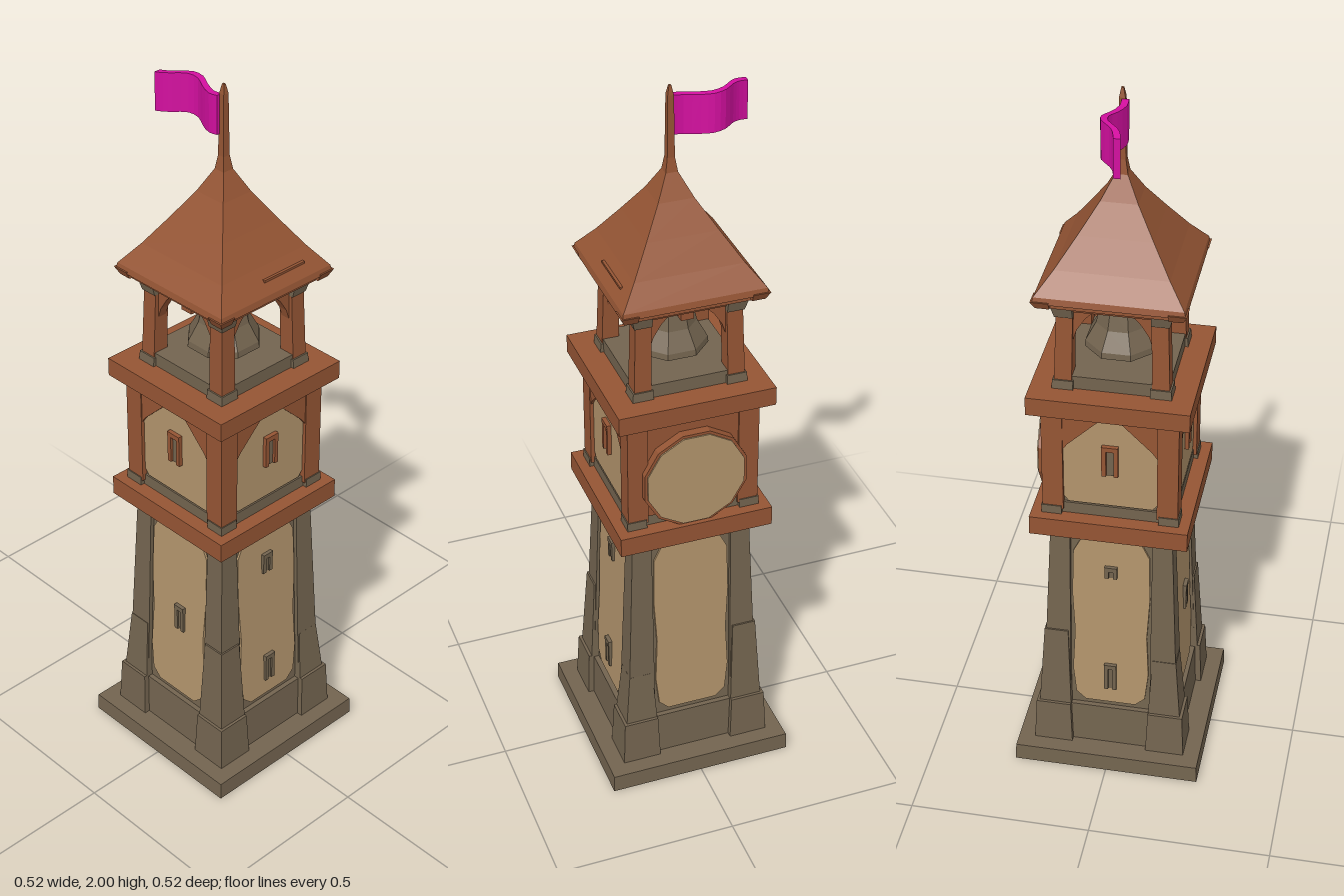
import * as THREE from 'three';

const mat = (name, color) => {
  const m = new THREE.MeshStandardMaterial({ color, flatShading: true });
  m.name = name;
  return m;
};

export function createModel() {
  const stone = mat('stone', 0x73644f);
  const wood = mat('wood', 0x955534);
  const plaster = mat('plaster', 0xb2946c);
  const cloth = mat('flag cloth', 0xd30f9f);
  const tower = new THREE.Group();
  tower.name = 'bellTower';

  const add = (parent, name, geo, material, x = 0, y = 0, z = 0) => {
    const m = new THREE.Mesh(geo, material);
    m.name = name;
    m.position.set(x, y, z);
    parent.add(m);
    return m;
  };
  const box = (parent, name, material, w, h, d, x, y, z) =>
    add(parent, name, new THREE.BoxGeometry(w, h, d), material, x, y, z);

  // six-sided block between a bottom and a top rectangle [x0, x1, z0, z1]
  const block = (bottom, y0, top, y1) => {
    const g = new THREE.BoxGeometry(1, 1, 1), p = g.attributes.position;
    for (let i = 0; i < p.count; i++) {
      const r = p.getY(i) > 0 ? top : bottom;
      p.setXYZ(i, p.getX(i) > 0 ? r[1] : r[0], p.getY(i) > 0 ? y1 : y0, p.getZ(i) > 0 ? r[3] : r[2]);
    }
    g.computeVertexNormals();
    return g;
  };
  const sq = (h) => [-h, h, -h, h];
  const level = (name, material, h0, y0, h1, y1) => add(tower, name, block(sq(h0), y0, sq(h1), y1), material);
  // square block in one corner, from an inner to an outer distance
  const cornerRect = (sx, sz, a, b) => [
    Math.min(sx * a, sx * b), Math.max(sx * a, sx * b), Math.min(sz * a, sz * b), Math.max(sz * a, sz * b)];
  const corner = (name, material, sx, sz, a0, b0, y0, a1, b1, y1) =>
    add(tower, name, block(cornerRect(sx, sz, a0, b0), y0, cornerRect(sx, sz, a1, b1), y1), material);
  // thin plate from an outline
  const plate = (pts, depth) => new THREE.ExtrudeGeometry(
    new THREE.Shape(pts.map(([x, y]) => new THREE.Vector2(x, y))), { depth, bevelEnabled: false });
  const mirrored = (half) => [...half, ...half.map(([x, y]) => [-x, y]).reverse()];

  // foot and tapering shaft
  level('footSlab', stone, 0.26, 0, 0.258, 0.05);
  level('plinth', stone, 0.197, 0.05, 0.192, 0.175);
  level('shaft', stone, 0.178, 0.175, 0.154, 0.785);

  // storey and ring beams
  level('lowerRingBeam', wood, 0.212, 0.78, 0.212, 0.835);
  level('storeyCore', stone, 0.165, 0.835, 0.165, 1.165);
  level('storeySill', stone, 0.172, 0.835, 0.172, 0.868);
  level('upperRingBeam', wood, 0.213, 1.163, 0.213, 1.215);

  // belfry floor and head
  level('belfryKerb', stone, 0.147, 1.215, 0.147, 1.252);
  level('belfryHead', wood, 0.14, 1.44, 0.15, 1.475);

  // everything standing on the four corners
  const stepTop = [0.43, 0.33, 0.43, 0.36];
  [[-1, 1], [1, 1], [1, -1], [-1, -1]].forEach(([sx, sz], i) => {
    corner('plinthBlock', stone, sx, sz, 0.105, 0.213, 0.05, 0.11, 0.207, 0.18);
    corner('shaftPier', stone, sx, sz, 0.112, 0.19, 0.18, 0.112, 0.165, 0.782);
    corner('pierButtress', stone, sx, sz, 0.11, 0.199, 0.18, 0.118, 0.184, stepTop[i]);
    corner('storeyPost', wood, sx, sz, 0.125, 0.181, 0.85, 0.125, 0.181, 1.165);
    corner('postFoot', stone, sx, sz, 0.13, 0.184, 0.835, 0.13, 0.184, 0.86);
    corner('belfryPostFoot', stone, sx, sz, 0.1, 0.156, 1.215, 0.1, 0.154, 1.24);
    corner('belfryPost', wood, sx, sz, 0.104, 0.15, 1.235, 0.1, 0.143, 1.445);
    corner('belfryCapital', stone, sx, sz, 0.1, 0.147, 1.425, 0.1, 0.157, 1.465);
  });

  // the four faces
  const panel = mirrored([[0.07, 0.19], [0.097, 0.215], [0.106, 0.3], [0.1, 0.43],
    [0.107, 0.56], [0.104, 0.7], [0.078, 0.752]]);
  const wallZ = (y) => 0.178 - (y - 0.175) * 0.0393;
  const slits = { front: [[0, 0.28, 0.08], [0, 0.64, 0.055]], left: [], back: [[0, 0.28, 0.08], [0, 0.64, 0.03]],
    right: [[0.01, 0.45, 0.075]] };
  Object.keys(slits).forEach((side, k) => {
    const face = new THREE.Group();
    face.name = side + 'Face';
    face.rotation.y = k * Math.PI / 2;
    tower.add(face);

    const shaftPanel = add(face, 'shaftPanel', plate(panel, 0.006), plaster, 0, 0, wallZ(0));
    shaftPanel.rotation.x = -Math.atan(0.0393);
    for (const [x, y, h] of slits[side]) {
      const z = wallZ(y) + 0.006;
      for (const s of [-1, 1]) box(face, 'slitJamb', stone, 0.011, h, 0.016, x + s * 0.0115, y, z);
      box(face, 'slitLintel', stone, 0.034, 0.014, 0.018, x, y + h / 2, z);
      box(face, 'slitOpening', stone, 0.016, h, 0.006, x, y, z);
    }

    // storey infill
    box(face, 'topRail', wood, 0.27, 0.022, 0.014, 0, 1.154, 0.17);
    if (side === 'left') {
      box(face, 'clockBoard', wood, 0.27, 0.3, 0.01, 0, 1.015, 0.17);
      const rim = add(face, 'clockRim', new THREE.CylinderGeometry(0.146, 0.146, 0.03, 12), wood, 0, 0.972, 0.184);
      const dial = add(face, 'clockDial', new THREE.CylinderGeometry(0.138, 0.138, 0.008, 12), plaster, 0, 0.972, 0.199);
      rim.rotation.set(Math.PI / 2, Math.PI / 12, 0);
      dial.rotation.set(Math.PI / 2, Math.PI / 12, 0);
    } else {
      add(face, 'storeyPanel', plate(mirrored([[0.112, 0.872], [0.126, 0.89], [0.126, 1.15]]), 0.006),
        plaster, 0, 0, 0.165);
      for (const s of [-1, 1]) {
        const pts = [[0.13 * s, 1.035], [0.13 * s, 1.155], [0.02 * s, 1.155], [0.03 * s, 1.14], [0.112 * s, 1.06]];
        add(face, 'storeyBrace', plate(pts, 0.013), wood, 0, 0, 0.165);
        box(face, 'windowJamb', wood, 0.012, 0.085, 0.018, s * 0.016, 1.015, 0.173);
      }
      box(face, 'windowLintel', wood, 0.044, 0.014, 0.02, 0, 1.058, 0.173);
      box(face, 'windowOpening', stone, 0.024, 0.08, 0.009, 0, 1.012, 0.17);
    }

    // belfry arch braces and eave rafter
    for (const s of [-1, 1]) {
      const pts = [[0.107 * s, 1.34], [0.107 * s, 1.445], [0.045 * s, 1.445], [0.07 * s, 1.42], [0.092 * s, 1.385]];
      add(face, 'archBrace', plate(pts, 0.026), wood, 0, 0, 0.108);
    }
    box(face, 'eaveRail', wood, 0.35, 0.02, 0.022, 0, 1.476, 0.164);
  });

  // bell on its beam
  box(tower, 'bellBeam', wood, 0.26, 0.03, 0.035, 0, 1.43, 0);
  const bellProfile = [[0.088, 1.275], [0.1, 1.278], [0.098, 1.295], [0.07, 1.345], [0.056, 1.405], [0.035, 1.425], [0, 1.43]];
  const bell = add(tower, 'bell', new THREE.LatheGeometry(
    bellProfile.map(([x, y]) => new THREE.Vector2(x, y)), 8, Math.PI / 8), stone);
  bell.material = stone;
  add(tower, 'bellUnderside', new THREE.CylinderGeometry(0.088, 0.088, 0.006, 8), stone, 0, 1.282, 0).rotation.y = Math.PI / 8;
  add(tower, 'clapper', new THREE.IcosahedronGeometry(0.018, 0), plaster, 0, 1.272, 0);

  // gently hollow pyramid roof running up into the flagpole
  const roof = [[0.178, 1.482], [0.194, 1.486], [0.19, 1.503], [0.146, 1.56], [0.096, 1.635],
    [0.048, 1.71], [0.016, 1.772], [0.01, 1.81], [0.008, 1.975], [0.003, 2.0]];
  for (let i = 0; i < roof.length - 1; i++) {
    level(i < 6 ? 'roofCourse' : 'flagpole', wood, ...roof[i], ...roof[i + 1]);
  }
  for (const sx of [-1, 1]) for (const sz of [-1, 1]) {
    corner('eaveTip', wood, sx, sz, 0.15, 0.186, 1.47, 0.15, 0.197, 1.492);
  }
  // lifted shingle edge on the front slope
  box(tower, 'shingleEdge', wood, 0.14, 0.006, 0.02, 0.045, 1.533, 0.162);

  // waving flag: a wall of cloth following a curve, trailing to the back
  const wave = new THREE.CatmullRomCurve3([[-0.008, -0.006], [-0.008, -0.035], [0.008, -0.075], [0.022, -0.105],
    [0.018, -0.135], [-0.008, -0.165], [-0.02, -0.185], [-0.026, -0.21]].map(([x, z]) => new THREE.Vector3(x, 0, z)));
  const path = wave.getPoints(14);
  for (let i = 0; i < 14; i++) {
    const a = path[i], b = path[i + 1], t = 0.009;
    const lift = (p) => 0.005 * Math.sin(p.z * 32);
    const g = new THREE.BoxGeometry(1, 1, 1), p = g.attributes.position;
    for (let j = 0; j < p.count; j++) {
      const c = p.getZ(j) > 0 ? a : b;
      p.setXYZ(j, c.x + Math.sign(p.getX(j)) * t, (p.getY(j) > 0 ? 1.973 : 1.868) + lift(c), c.z);
    }
    g.computeVertexNormals();
    add(tower, 'flag', g, cloth);
  }
  return tower;
}
